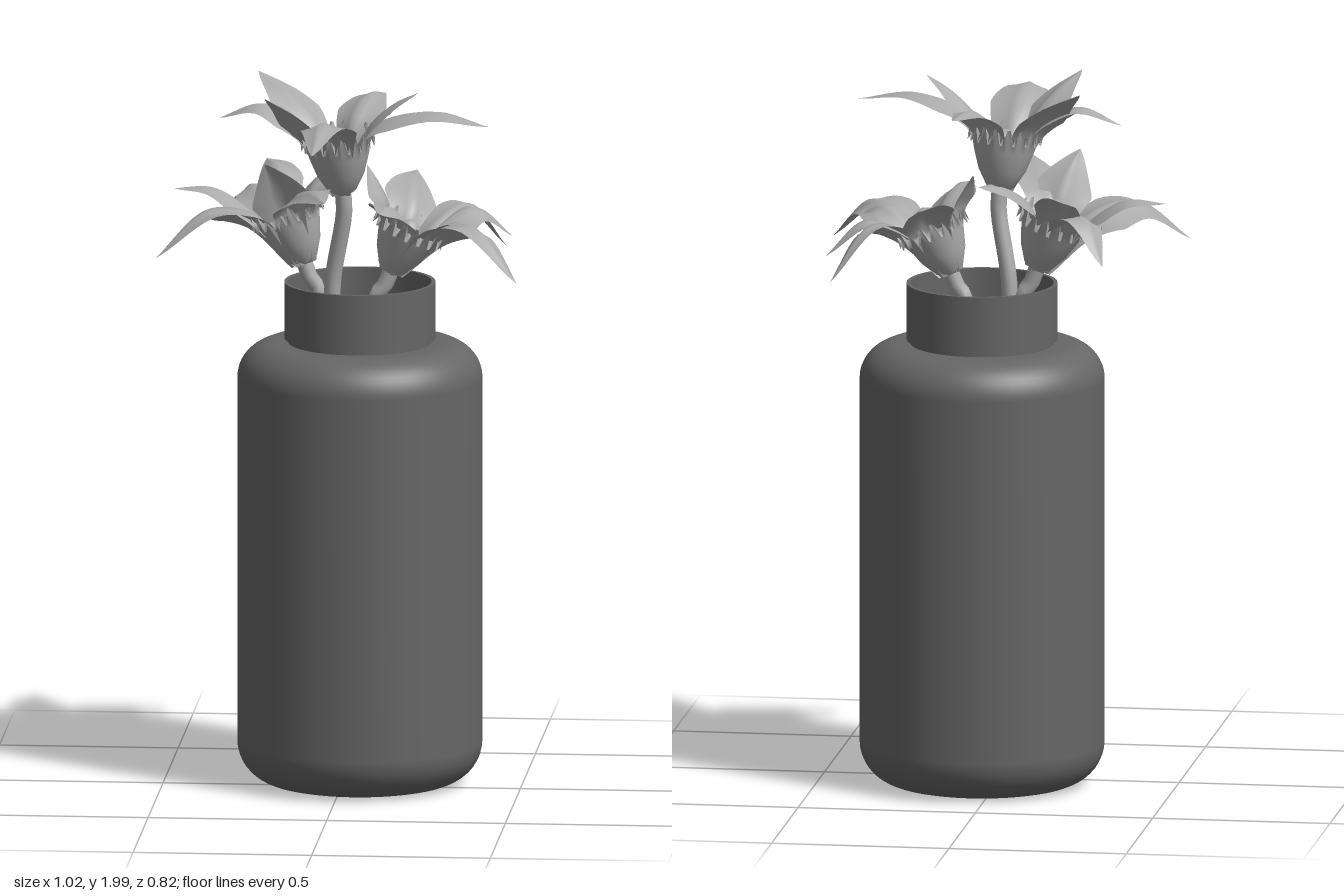
import * as THREE from 'three';

const V = (x, y, z) => new THREE.Vector3(x, y, z);
const glass = new THREE.MeshStandardMaterial({ color: 0x666666, side: THREE.DoubleSide });
const plant = new THREE.MeshStandardMaterial({ color: 0xaaaaaa, side: THREE.DoubleSide });

function named(name, geometry, material) {
  const mesh = new THREE.Mesh(geometry, material);
  mesh.name = name;
  return mesh;
}

// Hollow bottle with rounded shoulders and a straight open neck
function makeVase() {
  const profile = [new THREE.Vector2(0, 0)];
  const arc = (cx, cy, r, from, to) => {
    for (let i = 0; i <= 10; i++) {
      const a = from + (to - from) * i / 10;
      profile.push(new THREE.Vector2(cx + r * Math.cos(a), cy + r * Math.sin(a)));
    }
  };
  arc(0.222, 0.12, 0.12, -Math.PI / 2, 0);
  arc(0.242, 1.15, 0.1, 0, Math.PI / 2);
  profile.push(new THREE.Vector2(0.2, 1.25));
  const group = new THREE.Group();
  group.name = 'vase';
  group.add(named('vaseBody', new THREE.LatheGeometry(profile, 64), glass));
  const ring = [[0.198, 1.24], [0.198, 1.262], [0.211, 1.262], [0.211, 1.262], [0.211, 1.422],
    [0.211, 1.422], [0.2, 1.422], [0.2, 1.422], [0.2, 1.24]];
  group.add(named('vaseNeck', new THREE.LatheGeometry(ring.map(p => new THREE.Vector2(...p)), 64), glass));
  group.position.set(0.045, 0, -0.07);
  return group;
}

// Pointed petal: rises along the cup, arches over and ends at the tip, with a creased midrib
function makePetal(base, axis, tip, width, lift, height) {
  const out = tip.clone().sub(base);
  out.addScaledVector(axis, -out.dot(axis)).normalize();
  const rim = base.clone().addScaledVector(axis, height).addScaledVector(out, 0.085);
  const mid = rim.clone().lerp(tip, 0.5).add(V(0, lift, 0));
  const root = base.clone().addScaledVector(out, 0.02);
  const curve = new THREE.CatmullRomCurve3([root, rim, mid, tip]);
  const side = axis.clone().cross(out).normalize();
  const rows = 20, cols = 8, pos = [], index = [];
  for (let i = 0; i <= rows; i++) {
    const t = i / rows;
    const p = curve.getPoint(t);
    const normal = curve.getTangent(t).cross(side).normalize();
    const half = width * Math.min(0.3 + 1.4 * t, 1) * Math.pow(Math.max(0, Math.min(1, (1 - t) * 2.1)), 0.85);
    for (let j = 0; j <= cols; j++) {
      const u = j / cols * 2 - 1;
      const bend = half * (0.45 * Math.abs(u) - 0.15 * u * u);
      const q = p.clone().addScaledVector(side, u * half).addScaledVector(normal, -bend);
      pos.push(q.x, q.y, q.z);
      if (i < rows && j < cols) {
        const a = i * (cols + 1) + j, b = a + cols + 1;
        index.push(a, a + 1, b, b, a + 1, b + 1);
      }
    }
  }
  const g = new THREE.BufferGeometry();
  g.setAttribute('position', new THREE.Float32BufferAttribute(pos, 3));
  g.setIndex(index);
  g.computeVertexNormals();
  return named('petal', g, plant);
}

// Trumpet cup whose rim is pulled into small teeth
function makeCup(height) {
  const profile = [[0.012, -0.01], [0.04, 0.01], [0.066, 0.055], [0.084, 0.11], [0.096, height - 0.02], [0.104, height]];
  const g = new THREE.LatheGeometry(profile.map(p => new THREE.Vector2(...p)), 72);
  const p = g.attributes.position, last = profile.length - 1;
  for (let i = 0; i < p.count; i++) {
    const spoke = Math.floor(i / profile.length);
    if (i % profile.length === last && spoke % 4 < 2) p.setY(i, height - 0.045);
  }
  g.computeVertexNormals();
  return named('cup', g, plant);
}

function makeFlower({ name, base, throat, foot, height, petals }) {
  const group = new THREE.Group();
  group.name = name;
  const b = V(...base);
  const axis = V(...throat).sub(b).normalize();
  const cup = makeCup(height);
  cup.position.copy(b);
  cup.quaternion.setFromUnitVectors(V(0, 1, 0), axis);
  group.add(cup);

  // Rounded heart of the flower
  const heart = named('flowerHeart', new THREE.SphereGeometry(0.042, 20, 14), plant);
  heart.scale.y = 1.5;
  heart.quaternion.copy(cup.quaternion);
  heart.position.copy(b).addScaledVector(axis, height * 0.6);
  group.add(heart);

  for (const [x, y, z, width, lift] of petals) {
    group.add(makePetal(b, axis, V(x, y, z), width, lift, height));
  }

  const f = V(...foot);
  const path = new THREE.CatmullRomCurve3([
    V(f.x * 0.6 + 0.02, 0.3, f.z), V(f.x, 1.2, f.z), f, b.clone().addScaledVector(axis, -0.05), b.clone().addScaledVector(axis, 0.02),
  ]);
  group.add(named('stem', new THREE.TubeGeometry(path, 40, 0.023, 12), plant));
  return group;
}

export function createModel() {
  const model = new THREE.Group();
  model.name = 'vaseWithFlowers';
  model.add(makeVase());

  // Petals are listed as tip x, y, z, half width and arch height
  const flowers = [
    {
      name: 'topFlower', base: [0, 1.68, -0.03], throat: [-0.015, 1.86, -0.015], foot: [-0.03, 1.42, -0.06], height: 0.18,
      petals: [
        [-0.05, 1.87, 0.41, 0.085, 0.07], [0.42, 1.9, 0.1, 0.075, 0.05], [-0.35, 1.88, -0.07, 0.075, 0.06],
        [0.1, 1.92, -0.27, 0.075, 0.04], [-0.25, 1.99, -0.2, 0.08, 0.02], [0.22, 1.985, 0.05, 0.065, 0.02],
        [-0.2, 1.985, 0.18, 0.075, 0.02],
      ],
    },
    {
      name: 'leftFlower', base: [-0.11, 1.47, -0.08], throat: [-0.18, 1.66, -0.09], foot: [-0.075, 1.4, -0.08], height: 0.17,
      petals: [
        [-0.51, 1.52, 0.15, 0.105, 0.08], [-0.48, 1.67, -0.11, 0.075, 0.04], [-0.34, 1.54, -0.38, 0.08, 0.08],
        [-0.24, 1.71, -0.36, 0.07, 0.04], [-0.21, 1.78, 0.08, 0.08, 0.01], [-0.02, 1.72, 0.33, 0.085, 0.04],
        [0.02, 1.74, -0.3, 0.07, 0.03],
      ],
    },
    {
      name: 'rightFlower', base: [0.13, 1.45, -0.08], throat: [0.2, 1.61, -0.08], foot: [0.09, 1.38, -0.08], height: 0.16,
      petals: [
        [0.51, 1.48, 0.23, 0.09, 0.09], [0.46, 1.52, -0.25, 0.085, 0.07], [0.43, 1.47, -0.37, 0.065, 0.09],
        [0.18, 1.68, -0.38, 0.08, 0.03], [0.06, 1.74, -0.14, 0.065, 0.01], [0.12, 1.66, 0.17, 0.08, 0.03],
        [0.41, 1.58, 0.07, 0.06, 0.04],
      ],
    },
  ];
  for (const flower of flowers) model.add(makeFlower(flower));
  return model;
}
